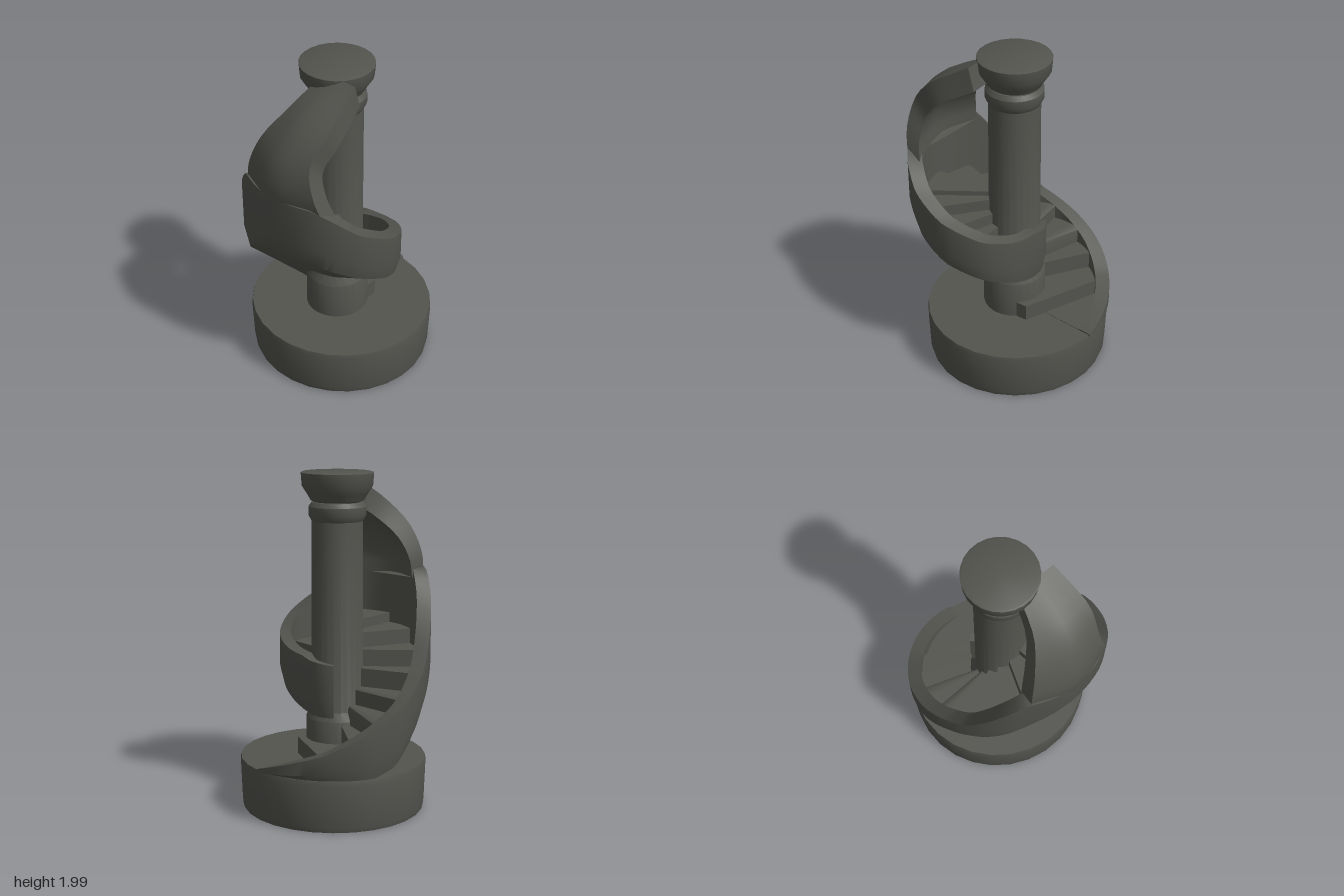
import * as THREE from 'three';
import { toCreasedNormals } from 'three/addons/utils/BufferGeometryUtils.js';

const stone = new THREE.MeshStandardMaterial({ color: 0x53544e, side: THREE.DoubleSide });
stone.name = 'dark stone';

// Closed solid through a list of rings (equal point counts), capped at both ends
function sweep(rings, pivot) {
  const n = rings[0].length, idx = [], last = (rings.length - 1) * n;
  for (let i = 0; i < rings.length - 1; i++)
    for (let j = 0; j < n; j++) {
      const k = (j + 1) % n, a = i * n, b = a + n;
      idx.push(a + j, b + j, b + k, a + j, b + k, a + k);
    }
  for (let j = 0; j < n; j++) {
    const k = (j + 1) % n;
    if (j === pivot || k === pivot) continue;
    idx.push(pivot, j, k, last + pivot, last + k, last + j);
  }
  const g = new THREE.BufferGeometry().setFromPoints(rings.flat());
  g.setIndex(idx);
  return toCreasedNormals(g, 0.6);
}

// Linear lookup in a table of [angle, radius, rim, bottom, columnBottom]
function lookup(table, a) {
  let i = 0;
  while (i < table.length - 2 && a > table[i + 1][0]) i++;
  const p = table[i], q = table[i + 1], t = (a - p[0]) / (q[0] - p[0]);
  return p.map((v, c) => v + (q[c] - v) * t);
}

export function createModel() {
  const model = new THREE.Group();
  const add = (name, geometry) => {
    const m = new THREE.Mesh(geometry, stone);
    m.name = name;
    model.add(m);
    return m;
  };
  const lathe = (pts, seg) => toCreasedNormals(
    new THREE.LatheGeometry(pts.map(p => new THREE.Vector2(p[0], p[1])), seg), 0.6);

  // Round base slab
  const base = add('base', lathe(
    [[0, 0.01], [0.535, 0.01], [0.543, 0.04], [0.552, 0.29], [0.547, 0.316], [0, 0.318]], 28));
  base.position.set(0.03, 0, 0.005);
  base.scale.z = 1.025;

  // Column with thick foot, collar and flared capital
  add('column', lathe([[0.19, 0.3], [0.187, 0.55], [0.155, 0.6], [0.15, 1.72]], 24));
  add('collar', lathe([[0.14, 1.7], [0.152, 1.72], [0.168, 1.75], [0.168, 1.8], [0.15, 1.825], [0.12, 1.83]], 24));
  add('capital', lathe(
    [[0.12, 1.82], [0.155, 1.835], [0.175, 1.87], [0.207, 1.92], [0.213, 1.995], [0.2, 2], [0, 2]], 24));

  // Slanted first step on the base
  const outline = [[0.1, -0.14], [0.2, -0.13], [0.37, 0.35], [0.27, 0.44], [0.05, 0.15]];
  const firstStep = new THREE.ExtrudeGeometry(
    new THREE.Shape(outline.map(p => new THREE.Vector2(...p))), { depth: 0.115, bevelEnabled: false });
  firstStep.rotateX(-Math.PI / 2);
  add('firstStep', firstStep).position.y = 0.306;

  // Winding stair: outer wall, treads and sloping underside in one sweep
  const table = [
    [0, 0.585, 0.325, 0.3, 0.3], [45, 0.585, 0.47, 0.3, 0.3], [70, 0.58, 0.59, 0.3, 0.3],
    [90, 0.565, 0.69, 0.36, 0.32], [110, 0.54, 0.8, 0.5, 0.38], [124, 0.54, 0.91, 0.6, 0.42],
    [146, 0.555, 1.25, 0.78, 0.5], [158, 0.558, 1.39, 0.88, 0.53], [163, 0.56, 1.42, 0.92, 0.54],
    [172, 0.57, 1.42, 0.98, 0.55], [185, 0.588, 1.42, 1.03, 0.56], [200, 0.6, 1.42, 1.04, 0.57],
    [214, 0.615, 1.42, 1.03, 0.57], [225, 0.617, 1.36, 0.99, 0.57], [240, 0.6, 1.24, 0.92, 0.57],
    [260, 0.55, 1.13, 0.83, 0.57], [285, 0.44, 1.02, 0.73, 0.57], [310, 0.315, 0.96, 0.65, 0.57],
    [325, 0.255, 0.94, 0.61, 0.57], [340, 0.217, 0.93, 0.585, 0.57],
    [360, 0.2, 0.91, 0.57, 0.56], [405, 0.187, 0.89, 0.56, 0.55],
  ];
  // [riser angle, tread height]
  const treads = [
    [-1, 0.32], [43, 0.42], [60, 0.53], [76, 0.64], [97, 0.74], [118, 0.85], [140, 0.95], [165, 1.04],
    [193, 1.1], [218, 1.07], [234, 1.0], [252, 0.93], [270, 0.86], [292, 0.8], [322, 0.77], [350, 0.88],
  ];
  const rings = [];
  const addRing = (a, floor) => {
    const [, R, rim, bottom, under] = lookup(table, a);
    const t = THREE.MathUtils.degToRad(a), inner = Math.max(R - 0.085, 0.14), f = Math.min(floor, rim);
    rings.push([[0.12, under], [Math.max(R - 0.03, 0.17), bottom], [R, bottom + (rim - bottom) * 0.35],
      [R, rim], [inner, rim], [inner, f], [0.12, f]]
      .map(([r, y]) => new THREE.Vector3(r * Math.cos(t), y, -r * Math.sin(t))));
  };
  treads.forEach(([start, height], i) => {
    const from = Math.max(start, 0), to = i + 1 < treads.length ? treads[i + 1][0] : 405;
    const n = Math.ceil((to - from) / 5);
    for (let k = 0; k <= n; k++)
      addRing(from + (to - from) * k / n + (k === 0 ? 0.05 : 0), height);
  });
  add('windingStair', sweep(rings, 5));

  // Broad band that curls from the side wall up to the capital
  const curve = pts => new THREE.CatmullRomCurve3(pts.map(p => new THREE.Vector3(...p)));
  const back = curve([[-0.53, 1.36, -0.16], [-0.525, 1.5, -0.15], [-0.47, 1.67, -0.1],
    [-0.34, 1.83, -0.02], [-0.13, 1.97, 0.02]]);
  const middle = curve([[-0.586, 1.36, 0.09], [-0.59, 1.5, 0.1], [-0.54, 1.66, 0.12],
    [-0.4, 1.83, 0.14], [-0.12, 1.99, 0.13]]);
  const front = curve([[-0.465, 1.34, 0.4], [-0.505, 1.5, 0.36], [-0.485, 1.67, 0.315],
    [-0.36, 1.83, 0.325], [-0.11, 1.99, 0.26]]);
  const band = [];
  for (let i = 0; i <= 14; i++) {
    const s = i / 14, phi = s * 1.3, d = 0.09 + 0.05 * s;
    const across = new THREE.CatmullRomCurve3([front.getPoint(s), middle.getPoint(s), back.getPoint(s)]);
    const outer = across.getPoints(6);
    const shift = new THREE.Vector3(Math.cos(phi) * d, -Math.sin(phi) * d, 0);
    band.push([...outer, ...outer.map(p => p.clone().add(shift)).reverse()]);
  }
  add('upperBand', sweep(band, 0));

  return model;
}
